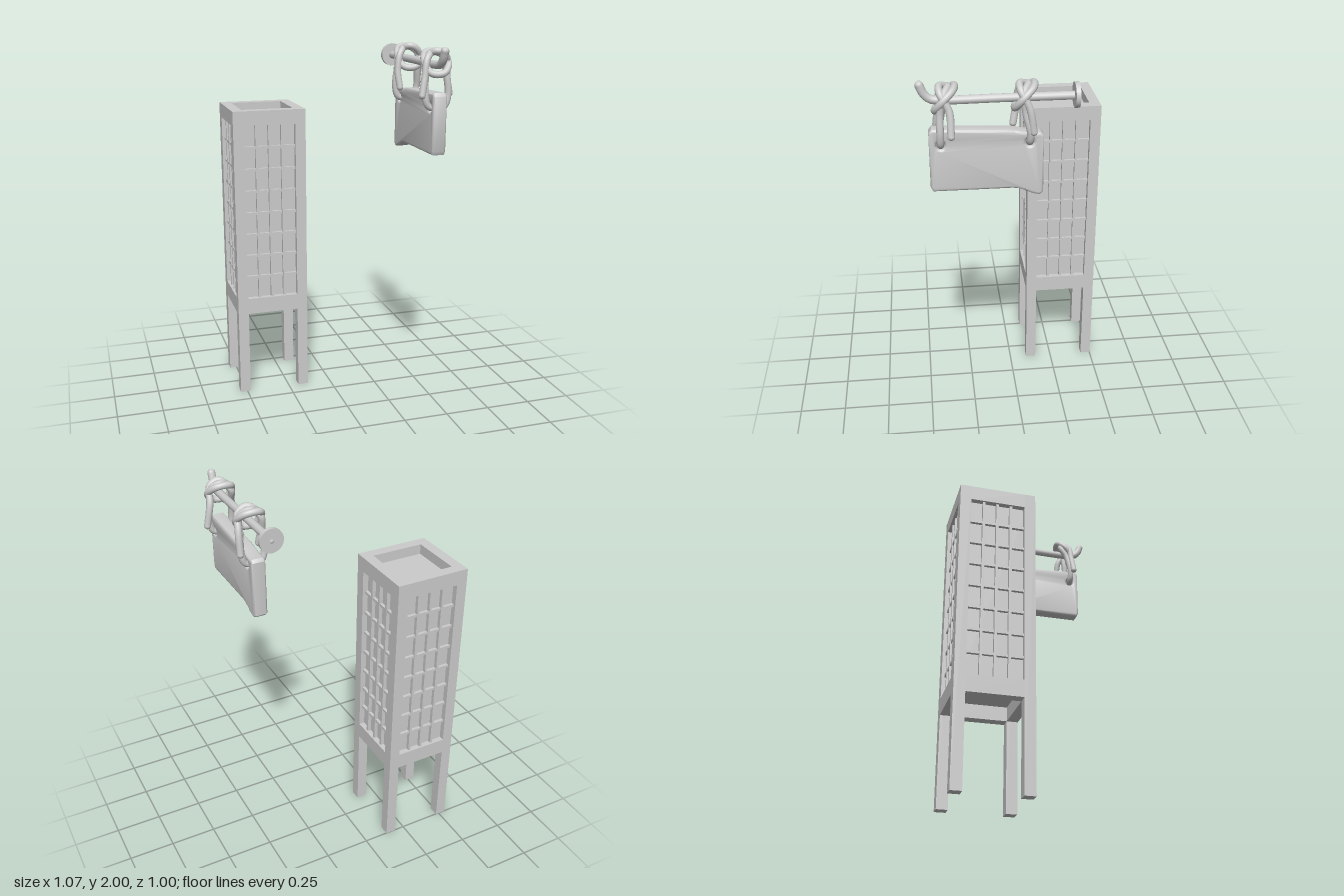
import * as THREE from 'three';
import { toCreasedNormals } from 'three/addons/utils/BufferGeometryUtils.js';

const material = new THREE.MeshStandardMaterial({ color: 0xcccccc });

function add(parent, name, geometry, x = 0, y = 0, z = 0) {
  const mesh = new THREE.Mesh(geometry, material);
  mesh.name = name;
  mesh.position.set(x, y, z);
  parent.add(mesh);
  return mesh;
}

const box = (w, h, d) => new THREE.BoxGeometry(w, h, d);

// Lantern tower: four posts, rails and a recessed lattice on each side
function createTower() {
  const tower = new THREE.Group();
  tower.name = 'lanternTower';
  const half = 0.202, post = 0.058, inner = half - post;
  const low = 0.57, high = 1.56, top = 1.64, beam = 0.48;
  const middle = (low + high) / 2, columns = 4, rows = 8, bar = 0.014;

  for (const sx of [-1, 1]) for (const sz of [-1, 1]) {
    add(tower, 'cornerPost', box(post, top, post), sx * (half - post / 2), top / 2, sz * (half - post / 2));
  }
  add(tower, 'core', box(0.342, 1.03, 0.342), 0, 1.07, 0);

  for (let i = 0; i < 4; i++) {
    const side = new THREE.Group();
    side.name = 'latticeSide';
    side.rotation.y = i * Math.PI / 2;
    tower.add(side);
    const railZ = half - post / 2;
    add(side, 'topRail', box(inner * 2, top - high, post), 0, (top + high) / 2, railZ);
    add(side, 'bottomRail', box(inner * 2, low - beam, post), 0, (low + beam) / 2, railZ);
    for (let c = 1; c < columns; c++) {
      add(side, 'verticalBar', box(bar, high - low, 0.02), inner * (2 * c / columns - 1), middle, 0.181);
    }
    for (let r = 1; r < rows; r++) {
      add(side, 'horizontalBar', box(inner * 2, bar, 0.018), 0, low + (high - low) * r / rows, 0.179);
    }
  }
  return tower;
}

// Board with a flared rear end and two rope holes, drawn in z and y
function boardGeometry() {
  const b = 0.012, depth = 0.075;
  const s = new THREE.Shape();
  s.moveTo(0.432, 1.463);
  s.lineTo(0.438, 1.475);
  s.lineTo(0.438, 1.747);
  s.lineTo(0.43, 1.757);
  s.lineTo(0.08, 1.744);
  s.bezierCurveTo(0.03, 1.74, 0, 1.727, -0.08, 1.724);
  s.lineTo(-0.088, 1.716);
  s.lineTo(-0.088, 1.43);
  s.lineTo(-0.08, 1.423);
  s.bezierCurveTo(-0.03, 1.427, -0.01, 1.463, 0.06, 1.463);
  s.closePath();
  for (const z of [0.395, -0.03]) {
    const hole = new THREE.Path();
    hole.absarc(z, 1.69, 0.034, 0, Math.PI * 2, true);
    s.holes.push(hole);
  }
  const g = new THREE.ExtrudeGeometry(s, {
    depth: depth - 2 * b, bevelThickness: b, bevelSize: b, bevelSegments: 3, curveSegments: 14,
  });
  g.translate(0, 0, -(depth - 2 * b) / 2);
  g.rotateY(-Math.PI / 2);
  return toCreasedNormals(g, 0.7);
}

// Round rod along a smooth path, with domed ends when open
function addRod(parent, name, points, radius, closed = false) {
  const path = points.map((p) => new THREE.Vector3(...p));
  const curve = new THREE.CatmullRomCurve3(path, closed);
  add(parent, name, new THREE.TubeGeometry(curve, points.length * 7, radius, 12, closed));
  if (closed) return;
  for (const p of [points[0], points[points.length - 1]]) {
    add(parent, name + 'End', new THREE.SphereGeometry(radius, 12, 8), ...p);
  }
}

// Rope: tail, turn over the bar, through the hole, back over the bar, tail
function createRope(holeZ, knotZ, tail) {
  const rope = new THREE.Group();
  rope.name = 'knottedRope';
  const r = 0.018;
  addRod(rope, 'hangingRope', [
    [tail.left[0], 1.755, tail.left[1]],
    [-0.07, 1.84, knotZ + 0.03],
    [-0.05, 1.94, knotZ + 0.015],
    [0, 1.97, knotZ - 0.02],
    [0.05, 1.94, knotZ + 0.005],
    [0.055, 1.85, (knotZ + holeZ) / 2 + 0.01],
    [0.062, 1.75, holeZ],
    [0.045, 1.699, holeZ],
    [0, 1.688, holeZ],
    [-0.045, 1.699, holeZ],
    [-0.062, 1.75, holeZ],
    [-0.055, 1.86, (knotZ + holeZ) / 2 - 0.01],
    [-0.045, 1.935, knotZ - 0.035],
    [0, 1.975, knotZ + 0.02],
    [0.048, 1.95, knotZ + 0.02],
    [0.068, 1.87, knotZ - 0.02],
    [tail.right[0], 1.755, tail.right[1]],
  ], r);
  addRod(rope, 'knotLoop', [
    [-0.062, 1.92, knotZ],
    [-0.035, 1.965, knotZ - 0.048],
    [0.035, 1.96, knotZ - 0.04],
    [0.066, 1.915, knotZ + 0.01],
    [0.03, 1.865, knotZ + 0.045],
    [-0.035, 1.865, knotZ + 0.035],
  ], r, true);
  return rope;
}

// Wall bracket with the board hanging from it
function createHangingSign() {
  const sign = new THREE.Group();
  sign.name = 'hangingSign';
  addRod(sign, 'hookedBar', [
    [0, 1.905, -0.25], [0, 1.905, 0.1], [0, 1.905, 0.39],
    [0, 1.912, 0.435], [0, 1.94, 0.465], [0, 1.98, 0.482],
  ], 0.021);
  const plate = add(sign, 'wallPlate', new THREE.CylinderGeometry(0.062, 0.062, 0.022, 32), 0, 1.907, -0.256);
  plate.rotation.x = Math.PI / 2;
  add(sign, 'board', boardGeometry());
  sign.add(createRope(0.395, 0.37, { left: [-0.085, 0.41], right: [0.092, 0.345] }));
  sign.add(createRope(-0.03, -0.005, { left: [-0.062, 0.04], right: [0.072, -0.045] }));
  return sign;
}

export function createModel() {
  const model = new THREE.Group();
  model.name = 'lanternAndSign';
  const tower = createTower();
  tower.position.set(-0.337, 0, -0.3);
  const sign = createHangingSign();
  sign.position.x = 0.423;
  model.add(tower, sign);
  return model;
}
